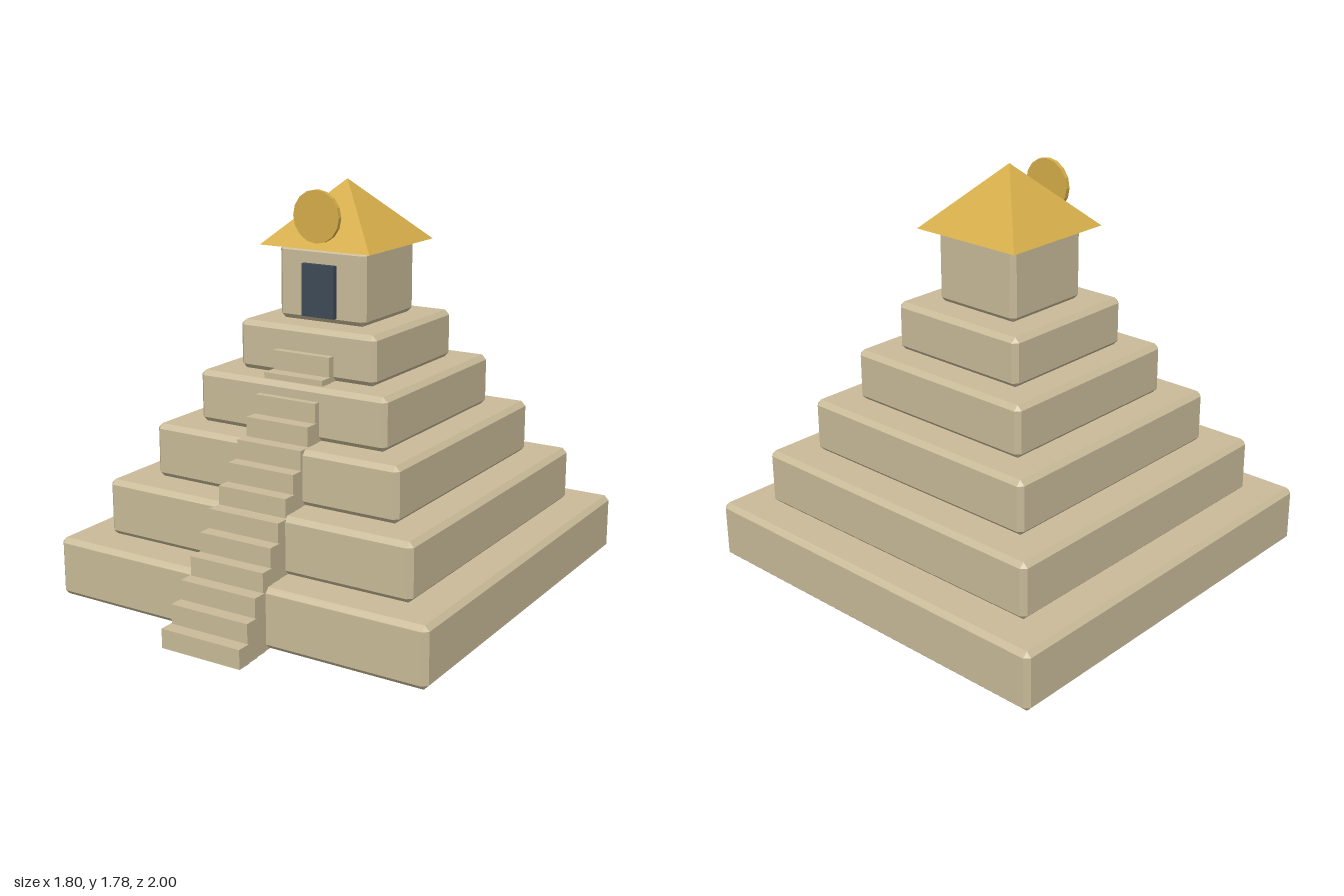
import * as THREE from 'three';
import { ConvexGeometry } from 'three/addons/geometries/ConvexGeometry.js';

const CENTER_Z = -0.1;

function material(name, color) {
  const m = new THREE.MeshStandardMaterial({ color });
  m.name = name;
  return m;
}

// Box with every edge cut at 45 degrees, centred on its origin
function chamferedBox(w, h, d, c) {
  const points = [];
  for (const sx of [-1, 1]) for (const sy of [-1, 1]) for (const sz of [-1, 1]) {
    const x = w / 2, y = h / 2, z = d / 2;
    points.push(
      new THREE.Vector3(sx * x, sy * (y - c), sz * (z - c)),
      new THREE.Vector3(sx * (x - c), sy * y, sz * (z - c)),
      new THREE.Vector3(sx * (x - c), sy * (y - c), sz * z));
  }
  return new ConvexGeometry(points);
}

export function createModel() {
  const group = new THREE.Group();
  const stone = material('stone', 0xc8ba98);
  const gold = material('gold', 0xd4ac48);
  const slate = material('dark slate', 0x3d4a56);

  function add(name, geometry, mat, x, y, z) {
    const mesh = new THREE.Mesh(geometry, mat);
    mesh.name = name;
    mesh.position.set(x, y, z);
    group.add(mesh);
    return mesh;
  }

  // Stacked tiers and the shrine on top: half width, bottom, top
  const blocks = [
    ['tier1', 0.9, 0.005, 0.265],
    ['tier2', 0.745, 0.265, 0.513],
    ['tier3', 0.597, 0.513, 0.75],
    ['tier4', 0.46, 0.75, 0.977],
    ['tier5', 0.335, 0.977, 1.19],
    ['shrine', 0.213, 1.19, 1.51],
  ];
  for (const [name, half, y0, y1] of blocks) {
    add(name, chamferedBox(half * 2, y1 - y0, half * 2, 0.021), stone, 0, (y0 + y1) / 2, CENTER_Z);
  }

  // Staircase: narrowing steps, each reaching down into the tiers
  const rise = 0.0835, run = 0.0609;
  for (let i = 0; i < 13; i++) {
    const top = rise * (i + 1), front = 1 - run * i, depth = run + 0.005;
    add('step' + (i + 1), new THREE.BoxGeometry(0.38 - i * 0.0085, top, depth),
      stone, 0, top / 2, front - depth / 2);
  }

  // Doorway panel
  add('door', new THREE.BoxGeometry(0.16, 0.225, 0.022), slate, 0, 1.328, 0.128);

  // Pyramid roof
  const roof = new THREE.ConeGeometry(0.27 * Math.SQRT2, 0.27, 4).rotateY(Math.PI / 4).toNonIndexed();
  roof.computeVertexNormals();
  add('roof', roof, gold, 0, 1.643, CENTER_Z);

  // Sun disc above the door
  const disc = new THREE.CylinderGeometry(0.112, 0.112, 0.02, 16).rotateX(Math.PI / 2).toNonIndexed();
  disc.computeVertexNormals();
  add('sunDisc', disc, gold, 0, 1.643, 0.14);

  return group;
}
